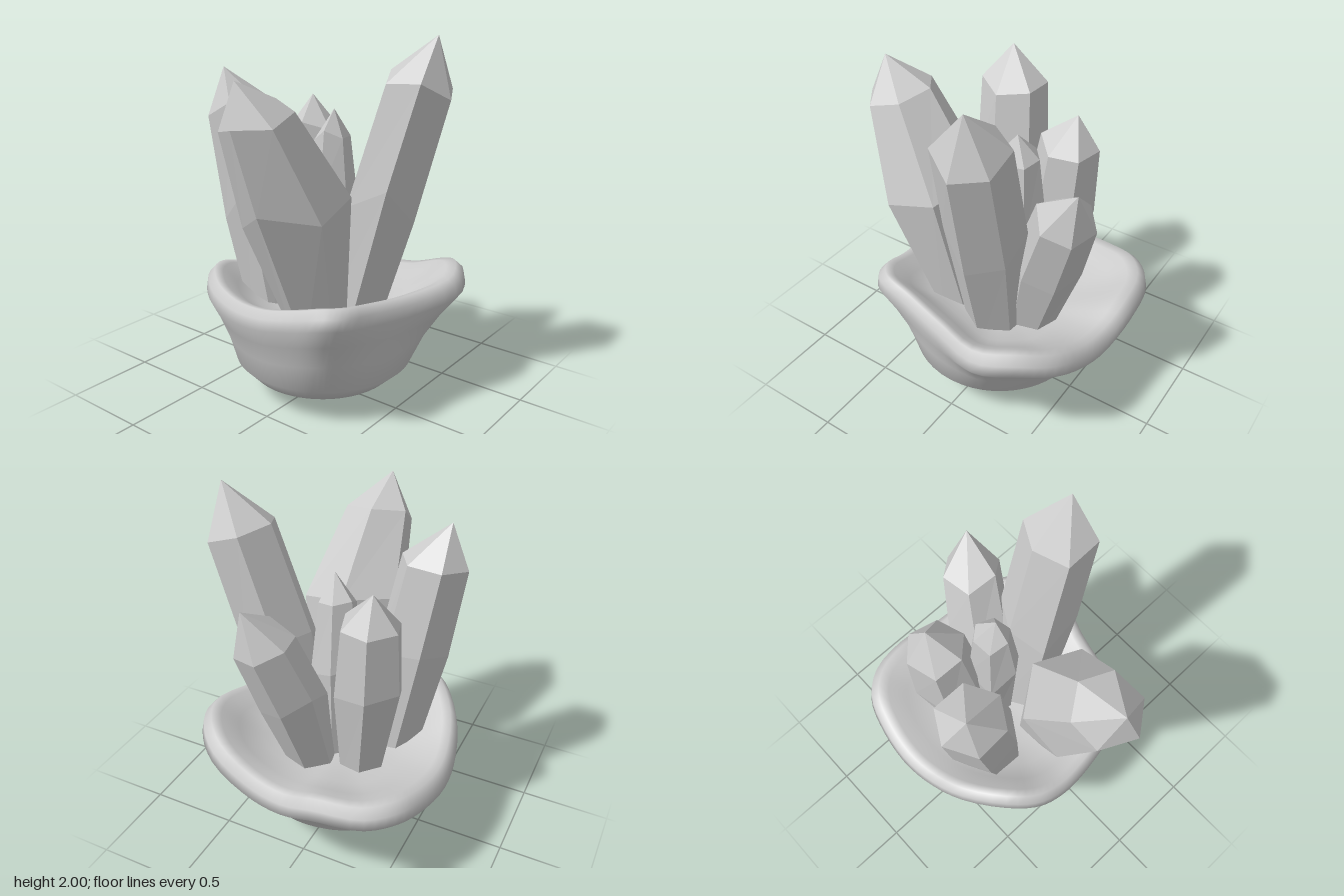
import * as THREE from 'three';
import { mergeVertices } from 'three/addons/utils/BufferGeometryUtils.js';

const V = (p) => new THREE.Vector3(...p);

// Skin a stack of equal-length rings (counterclockwise seen from the far end)
function loft(rings) {
  const n = rings[0].length;
  const pos = [];
  const index = [];
  rings.forEach((ring) => ring.forEach((p) => pos.push(p.x, p.y, p.z)));
  for (let j = 0; j < rings.length - 1; j++) {
    for (let i = 0; i < n; i++) {
      const a = j * n + i;
      const b = j * n + ((i + 1) % n);
      index.push(a, b, b + n, a, b + n, a + n);
    }
  }
  const g = new THREE.BufferGeometry();
  g.setAttribute('position', new THREE.Float32BufferAttribute(pos, 3));
  g.setIndex(index);
  return g;
}

// Uneven hollow rock that holds the crystals
function createRock(material) {
  // Rim crest: x, top height, z
  const rim = new THREE.CatmullRomCurve3([
    [0.73, 0.58, 0.0], [0.75, 0.64, -0.2], [0.71, 0.65, -0.46], [0.59, 0.65, -0.6],
    [0.4, 0.62, -0.67], [0.18, 0.6, -0.7], [-0.02, 0.62, -0.68], [-0.24, 0.69, -0.61],
    [-0.48, 0.74, -0.44], [-0.58, 0.71, -0.3], [-0.61, 0.67, -0.14], [-0.6, 0.66, 0.03],
    [-0.57, 0.69, 0.22], [-0.55, 0.74, 0.41], [-0.48, 0.74, 0.49], [-0.28, 0.71, 0.53],
    [0.0, 0.69, 0.6], [0.3, 0.72, 0.69], [0.52, 0.74, 0.6], [0.65, 0.69, 0.45], [0.71, 0.6, 0.2],
  ].map(V), true);
  const edge = rim.getPoints(72).slice(0, -1);
  const at = (f) => edge.map((p) => f(p, Math.atan2(p.z, p.x)));
  const pole = (x, y, z) => at(() => new THREE.Vector3(x, y, z));
  const disc = (r, y, z) => at((p, a) => new THREE.Vector3(r * Math.cos(a), y, r * Math.sin(a) + z));
  const base = disc(0.5, 0.21, 0);
  // Outer wall: blend from the round base to the widest part of the rim
  const wall = (t, drop) => edge.map((p, i) => new THREE.Vector3(
    THREE.MathUtils.lerp(base[i].x, p.x, t),
    THREE.MathUtils.lerp(0.21, p.y - 0.1, drop),
    THREE.MathUtils.lerp(base[i].z, p.z, t)));
  // Inner surface: shrink the rim and sink it towards the floor
  const inner = (s, sink) => at((p) => new THREE.Vector3(
    p.x * s, THREE.MathUtils.lerp(p.y, 0.5, sink), p.z * s));
  const rings = [
    pole(0.02, 0.005, -0.14), disc(0.24, 0.05, -0.06), disc(0.41, 0.115, -0.01), base,
    wall(0.3, 0.4), wall(0.65, 0.73), wall(1, 1),
    at((p) => new THREE.Vector3(p.x * 0.985, p.y - 0.04, p.z * 0.985)),
    inner(0.93, 0), inner(0.86, 0.06), inner(0.74, 0.4), inner(0.58, 0.75), inner(0.35, 0.95),
    pole(0.03, 0.5, 0),
  ];
  const g = mergeVertices(loft(rings), 1e-4);
  g.computeVertexNormals();
  const mesh = new THREE.Mesh(g, material);
  mesh.name = 'rockBase';
  return mesh;
}

// Faceted crystal: a bulging prism from base to shoulder, then a point
function createCrystal({ name, base, mid, shoulder, tip, radii, sides, spin }, material) {
  const [b, m, s, t] = [base, mid, shoulder, tip].map(V);
  const axis = s.clone().sub(b).normalize();
  const u = new THREE.Vector3(1, 0, 0).addScaledVector(axis, -axis.x).normalize();
  const w = axis.clone().cross(u);
  const ring = (c, r, wobble) => Array.from({ length: sides }, (_, i) => {
    const a = spin + (i / sides) * Math.PI * 2;
    return c.clone()
      .addScaledVector(u, r * Math.cos(a))
      .addScaledVector(w, r * Math.sin(a))
      .addScaledVector(axis, wobble * Math.sin(i * 2.4 + spin));
  });
  const g = loft([
    ring(b, 0, 0), ring(b, radii[0], 0), ring(m, radii[1], 0.1), ring(s, radii[2], 0.035), ring(t, 0, 0),
  ]).toNonIndexed();
  g.computeVertexNormals();
  const mesh = new THREE.Mesh(g, material);
  mesh.name = name;
  return mesh;
}

export function createModel() {
  const group = new THREE.Group();
  group.name = 'crystalCluster';
  const rockMaterial = new THREE.MeshStandardMaterial({ color: 0xcccccc, side: THREE.DoubleSide });
  const crystalMaterial = new THREE.MeshStandardMaterial({ color: 0xcccccc, flatShading: true });
  group.add(createRock(rockMaterial));

  const crystals = [
    { name: 'frontCrystal', base: [0.08, 0.42, 0.14], mid: [0.13, 1.15, 0.31], shoulder: [0.17, 1.76, 0.48],
      tip: [0.19, 2.0, 0.56], radii: [0.17, 0.21, 0.19], sides: 6, spin: 0.5 },
    { name: 'rightCrystal', base: [-0.17, 0.42, 0.1], mid: [-0.37, 1.2, 0.09], shoulder: [-0.59, 1.65, 0.05],
      tip: [-0.7, 1.83, 0.03], radii: [0.15, 0.29, 0.19], sides: 6, spin: 0.1 },
    { name: 'backRightCrystal', base: [-0.11, 0.42, -0.25], mid: [-0.15, 1.1, -0.35], shoulder: [-0.19, 1.61, -0.43],
      tip: [-0.24, 1.81, -0.49], radii: [0.16, 0.2, 0.18], sides: 6, spin: 0.5 },
    { name: 'backLeftCrystal', base: [0.17, 0.42, -0.2], mid: [0.22, 1.05, -0.26], shoulder: [0.25, 1.44, -0.28],
      tip: [0.28, 1.62, -0.3], radii: [0.12, 0.19, 0.16], sides: 6, spin: 0.3 },
    { name: 'leftCrystal', base: [0.23, 0.42, 0.05], mid: [0.38, 0.98, 0.11], shoulder: [0.5, 1.34, 0.18],
      tip: [0.59, 1.55, 0.24], radii: [0.13, 0.18, 0.16], sides: 6, spin: 0.2 },
    { name: 'centerCrystal', base: [0.11, 0.42, -0.02], mid: [0.11, 1.05, -0.03], shoulder: [0.11, 1.45, -0.03],
      tip: [0.1, 1.59, -0.01], radii: [0.1, 0.15, 0.1], sides: 6, spin: 0.2 },
  ];
  crystals.forEach((c) => group.add(createCrystal(c, crystalMaterial)));
  return group;
}
